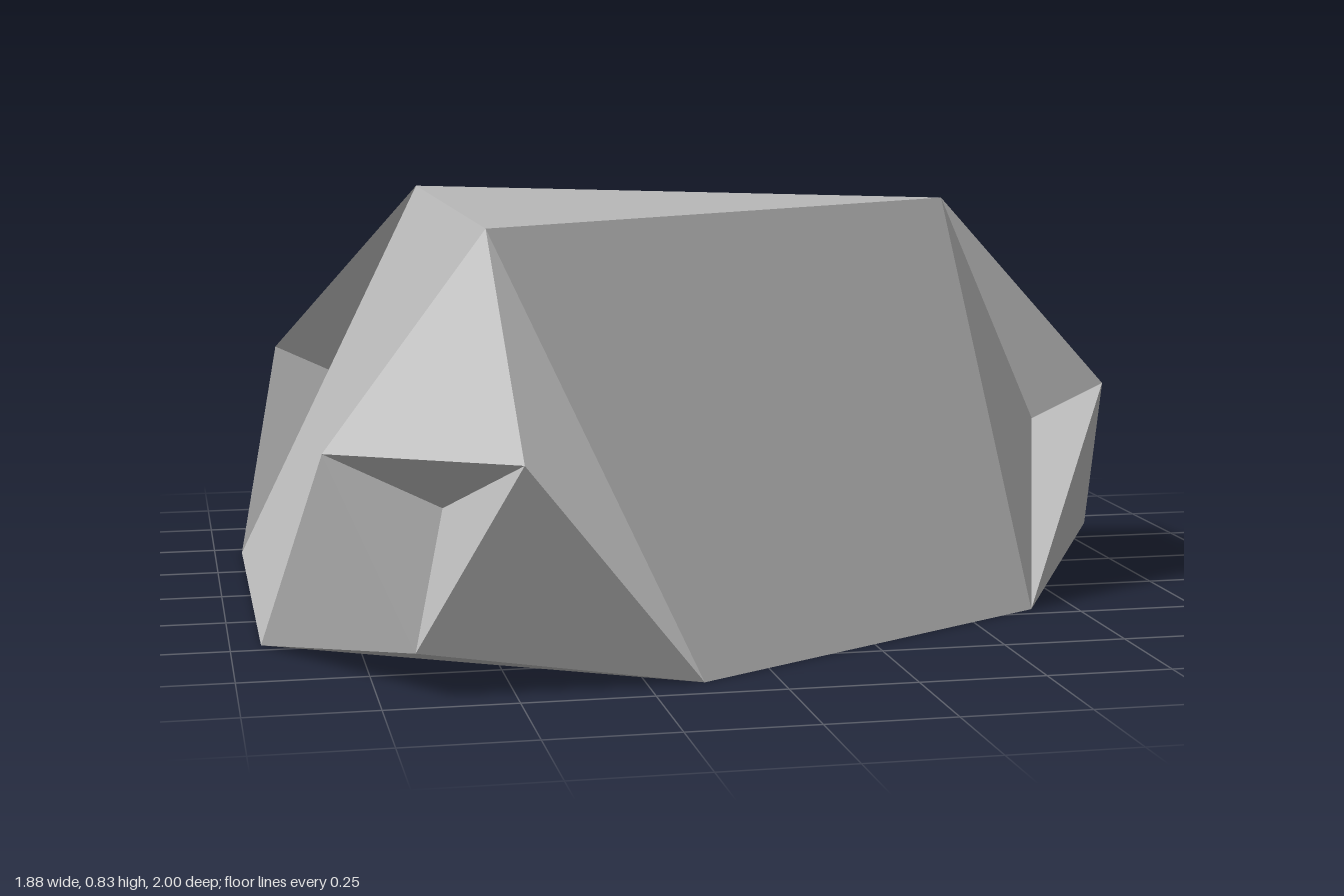
import * as THREE from 'three';

const CENTRE_X = -0.142;
const V = (x, y, z) => new THREE.Vector3(x, y, z);
const mirror = (p) => V(p.x, p.y, -p.z);
const turn = (p, k) => p.clone().applyAxisAngle(V(0, 1, 0), -k * Math.PI * 2 / 3);

// Corner points, measured from the axis of threefold symmetry
const top = V(0.73, 0.83, 0);
const side = V(1.04, 0.435, 0.2);
const toe = V(1.08, 0.085, 0);
const foot = V(0.797, 0, 0.46);
const pit = V(0.95, 0.33, 0);

// Polygons are fanned into separate flat triangles
function facets(name, polygons, material) {
  const points = [];
  for (const p of polygons) {
    for (let i = 1; i < p.length - 1; i++) points.push(p[0], p[i], p[i + 1]);
  }
  const geometry = new THREE.BufferGeometry().setFromPoints(points);
  geometry.computeVertexNormals();
  const mesh = new THREE.Mesh(geometry, material);
  mesh.name = name;
  return mesh;
}

export function createModel() {
  const group = new THREE.Group();
  group.name = 'facetedBlock';
  const grey = new THREE.MeshStandardMaterial({ color: 0xb8b8b8, flatShading: true });
  grey.name = 'plain grey';

  const solid = new THREE.Group();
  solid.position.x = CENTRE_X;
  solid.name = 'solid';
  group.add(solid);

  // Triangular top and hexagonal base
  solid.add(facets('topFace', [[0, 2, 1].map((k) => turn(top, k))], grey));
  const hexagon = [0, 1, 2].flatMap((k) => [turn(mirror(foot), k), turn(foot, k)]);
  solid.add(facets('baseFace', [hexagon], grey));

  // Each half corner: two-sided notch plus the lower outer facet
  const half = [
    [top, foot, pit],
    [pit, foot, side],
    [pit, side, top],
    [side, foot, toe],
    [side, toe, pit],
  ];
  const otherHalf = half.map((f) => f.map(mirror).reverse());
  const corner = [
    ...half,
    ...otherHalf,
    [top, side, mirror(side)],      // upper facet
    [mirror(side), side, pit],      // roof of the end notch
    [toe, foot, mirror(foot)],      // sloping underside
  ];

  for (let k = 0; k < 3; k++) {
    const panel = [turn(foot, k), turn(top, k), turn(top, k + 1), turn(mirror(foot), k + 1)];
    solid.add(facets('sidePanel' + (k + 1), [panel], grey));
    solid.add(facets('notchedCorner' + (k + 1), corner.map((f) => f.map((p) => turn(p, k))), grey));
  }
  return group;
}
